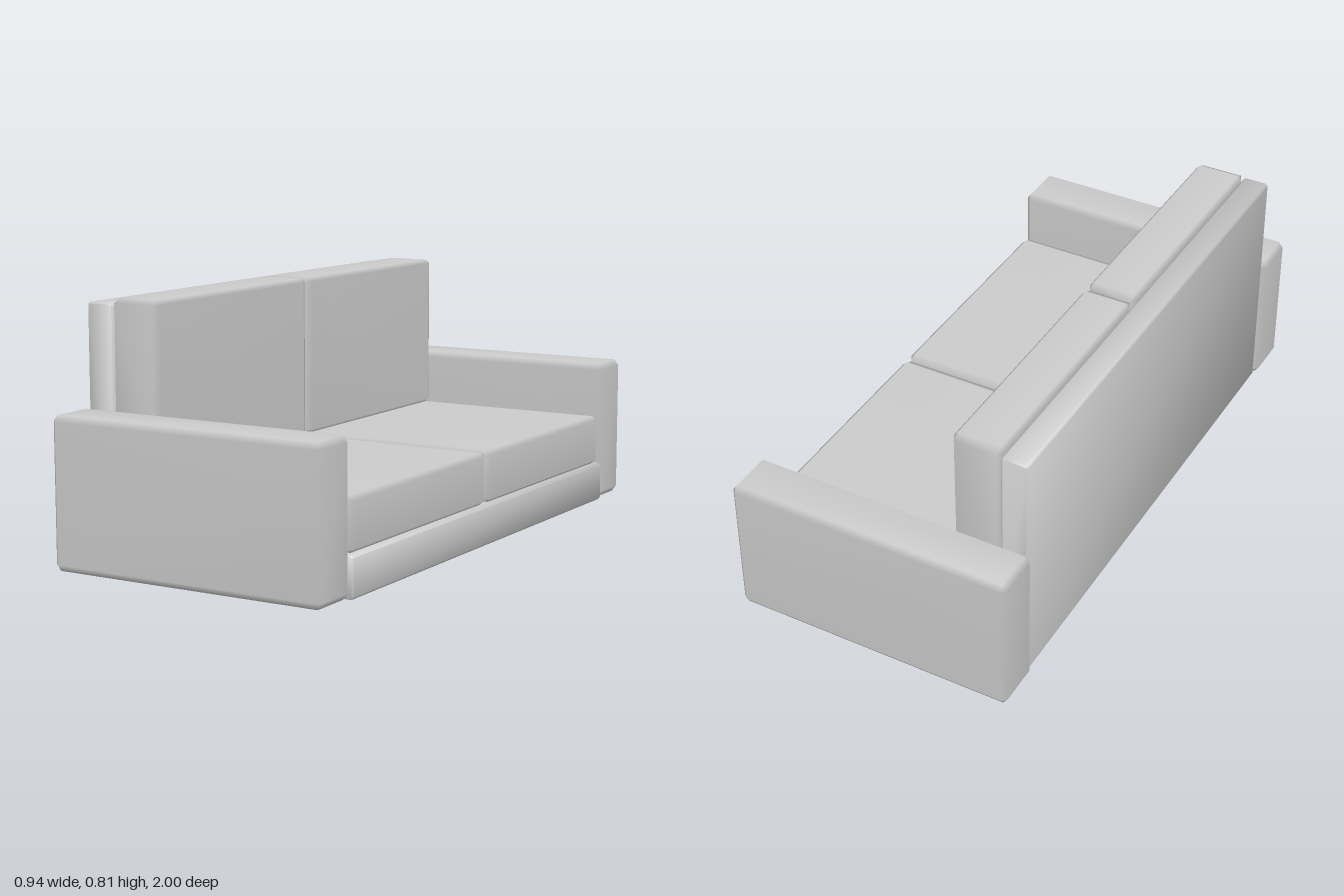
import * as THREE from 'three';
import { ConvexGeometry } from 'three/addons/geometries/ConvexGeometry.js';
import { mergeVertices, toCreasedNormals } from 'three/addons/utils/BufferGeometryUtils.js';

const material = new THREE.MeshStandardMaterial({ color: 0xcccccc });

// Chamfered block with soft normals; min, max and bevel are [x, y, z]
function paddedBlock(name, min, max, bevel) {
  const half = min.map((v, i) => (max[i] - v) / 2);
  const points = [];
  for (const sx of [-1, 1]) for (const sy of [-1, 1]) for (const sz of [-1, 1]) {
    const sign = [sx, sy, sz];
    // one point per face meeting at this corner
    for (let face = 0; face < 3; face++) {
      const p = sign.map((s, i) => s * (half[i] - (i === face ? 0 : bevel[i])));
      points.push(new THREE.Vector3(...p));
    }
  }
  let geometry = new ConvexGeometry(points);
  geometry.deleteAttribute('normal');
  geometry = mergeVertices(geometry, 1e-5);
  geometry.computeVertexNormals();
  const mesh = new THREE.Mesh(geometry, material);
  mesh.name = name;
  mesh.position.set(...min.map((v, i) => v + half[i]));
  return mesh;
}

// L-shaped frame: low base and upright back in one piece
function frame() {
  const c = 0.005;
  const b = 0.004;
  const [x0, xBack, x1] = [-0.457 + b, -0.37 - b, 0.47 - b];
  const [y0, yBase, yTop] = [b, 0.13 - b, 0.797 - b];
  const profile = new THREE.Shape([
    [x0 + c, y0], [x1 - c, y0], [x1, y0 + c], [x1, yBase - c], [x1 - c, yBase],
    [xBack, yBase], [xBack, yTop - c], [xBack - c, yTop], [x0 + c, yTop],
    [x0, yTop - c], [x0, y0 + c],
  ].map(([x, y]) => new THREE.Vector2(x, y)));
  const depth = 2 * (0.836 - b);
  const geometry = new THREE.ExtrudeGeometry(profile, {
    depth, bevelEnabled: true, bevelThickness: b, bevelSize: b, bevelSegments: 1,
  });
  geometry.translate(0, 0, -depth / 2);
  const mesh = new THREE.Mesh(toCreasedNormals(geometry, 0.9), material);
  mesh.name = 'baseAndBackFrame';
  return mesh;
}

export function createModel() {
  const sofa = new THREE.Group();
  sofa.name = 'sofa';
  sofa.add(frame());

  // Arms, seat cushions and back cushions, one of each per side
  for (const [side, s] of [['Front', 1], ['Rear', -1]]) {
    const block = (name, x, y, z, bevel) => {
      const zs = [z[0] * s, z[1] * s].sort((a, b) => a - b);
      sofa.add(paddedBlock(name + side, [x[0], y[0], zs[0]], [x[1], y[1], zs[1]], bevel));
    };
    block('arm', [-0.472, 0.462], [0.003, 0.475], [0.838, 1], [0.015, 0.02, 0.013]);
    block('seatCushion', [-0.37, 0.461], [0.13, 0.296], [0.001, 0.836], [0.015, 0.013, 0.027]);
    block('backCushion', [-0.37, -0.207], [0.293, 0.812], [0.001, 0.836], [0.013, 0.014, 0.027]);
  }
  return sofa;
}
